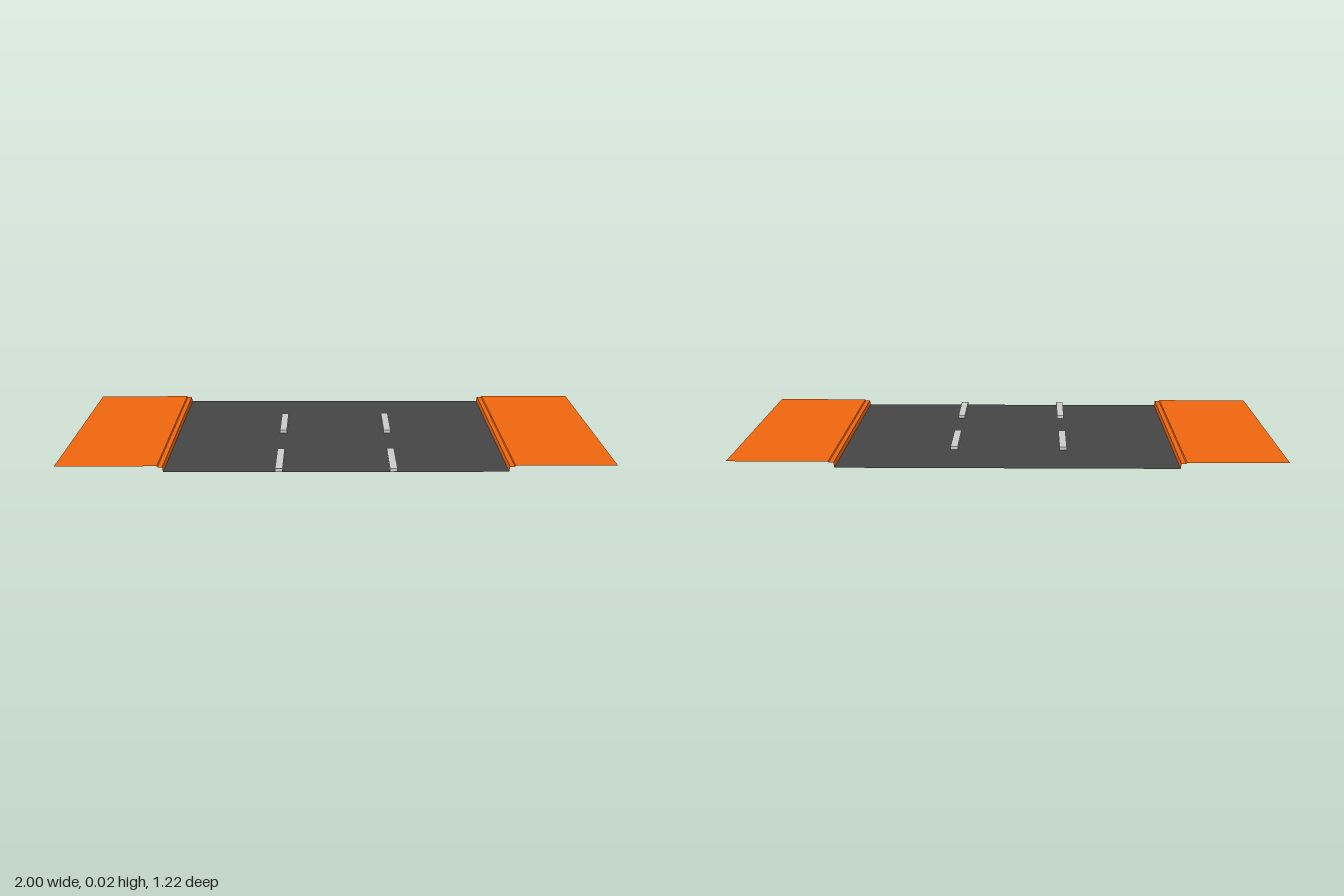
import * as THREE from 'three';

const HALF_LENGTH = 0.612;
const material = (color) => new THREE.MeshStandardMaterial({ color, flatShading: true, side: THREE.DoubleSide });

// Sweeps an open x/y profile (ordered by rising x) along z, with hard creases.
function ribbon(profile) {
  const positions = [];
  const L = HALF_LENGTH;
  for (let i = 0; i < profile.length - 1; i++) {
    const [ax, ay] = profile[i];
    const [bx, by] = profile[i + 1];
    positions.push(ax, ay, L, bx, by, L, bx, by, -L);
    positions.push(ax, ay, L, bx, by, -L, ax, ay, -L);
  }
  const geometry = new THREE.BufferGeometry();
  geometry.setAttribute('position', new THREE.Float32BufferAttribute(positions, 3));
  geometry.computeVertexNormals();
  return geometry;
}

export function createModel() {
  const group = new THREE.Group();
  group.name = 'roadSection';
  const add = (name, geometry, mat) => {
    const mesh = new THREE.Mesh(geometry, mat);
    mesh.name = name;
    group.add(mesh);
    return mesh;
  };

  const asphalt = material(0x454545);
  const earth = material(0xef660f);
  const paint = new THREE.MeshStandardMaterial({ color: 0xcccccc, flatShading: true });

  // Flat road surface
  add('roadSurface', ribbon([[-0.614, 0], [0.614, 0]]), asphalt);

  // Kerb and raised verge on each side
  const kerb = [[0.614, 0], [0.617, 0.018], [0.634, 0.018], [0.637, 0.022]];
  const verge = [[0.637, 0.022], [1, 0.022]];
  const mirror = (profile) => profile.map(([x, y]) => [-x, y]).reverse();
  add('leftKerb', ribbon(kerb), earth);
  add('rightKerb', ribbon(mirror(kerb)), earth);
  add('leftVerge', ribbon(verge), earth);
  add('rightVerge', ribbon(mirror(verge)), earth);

  // Broken lane lines
  for (const x of [-0.204, 0.204]) {
    for (const z of [-0.153, 0.459]) {
      add('laneDash', new THREE.BoxGeometry(0.027, 0.012, 0.306), paint).position.set(x, 0.0065, z);
    }
  }
  return group;
}
